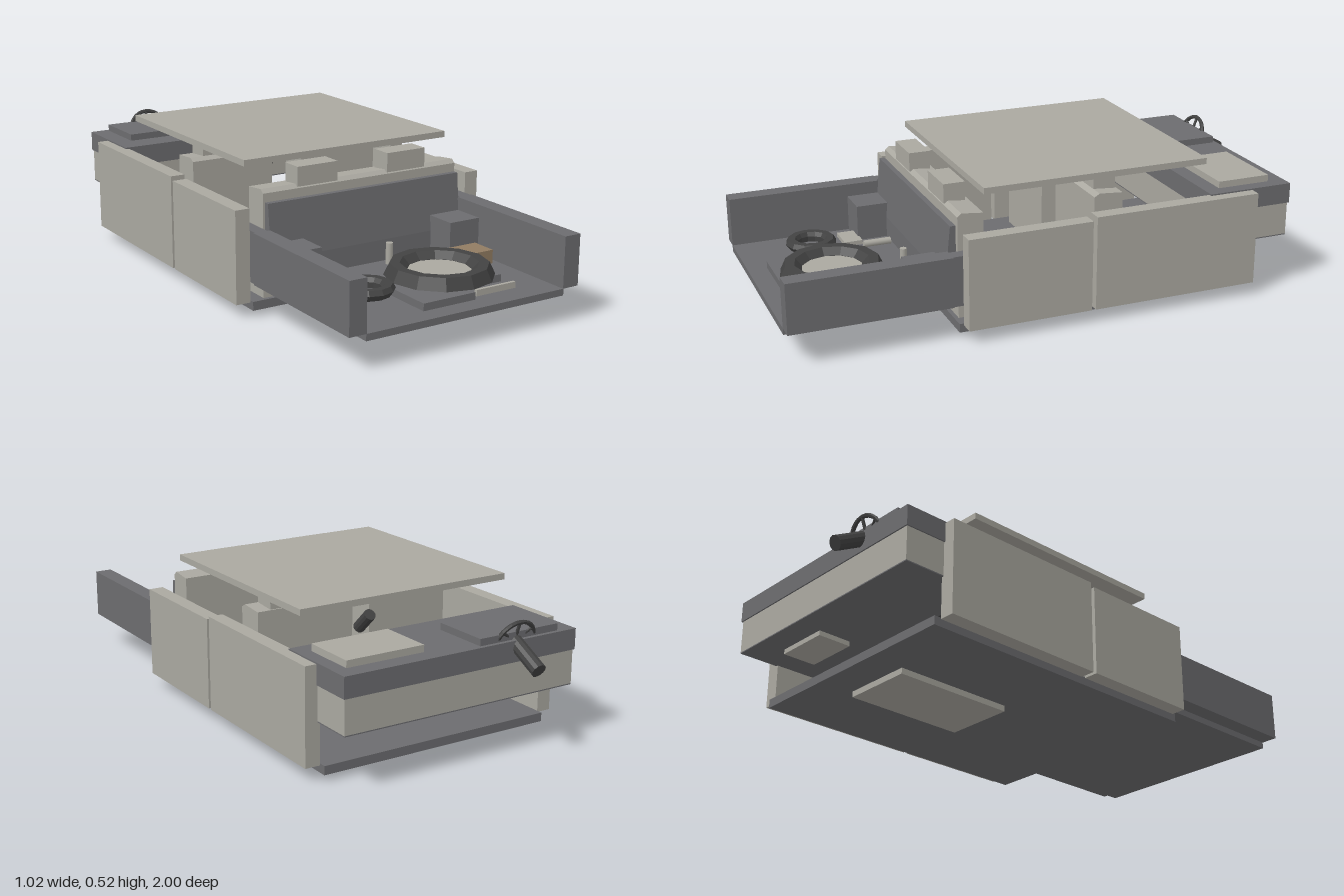
import * as THREE from 'three';

const mat = (name, color) => {
  const m = new THREE.MeshStandardMaterial({ color });
  m.name = name;
  return m;
};

export function createModel() {
  const model = new THREE.Group();
  model.name = 'equipmentUnit';
  const light = mat('warmGrey', 0xaaa8a0);
  const dark = mat('darkGrey', 0x6c6c6f);
  const black = mat('charcoal', 0x424242);
  const brown = mat('tan', 0x917c62);
  black.flatShading = true;

  const add = (name, geometry, material) => {
    const mesh = new THREE.Mesh(geometry, material);
    mesh.name = name;
    model.add(mesh);
    return mesh;
  };
  // Box given by its extents
  const box = (name, m, x0, x1, y0, y1, z0, z1) => {
    const b = add(name, new THREE.BoxGeometry(x1 - x0, y1 - y0, z1 - z0), m);
    b.position.set((x0 + x1) / 2, (y0 + y1) / 2, (z0 + z1) / 2);
    return b;
  };
  // Same box on both sides
  const pair = (name, m, x0, x1, ...rest) => {
    box(name + 'Left', m, x0, x1, ...rest);
    box(name + 'Right', m, -x1, -x0, ...rest);
  };
  // Cylinder between two points
  const rod = (name, m, a, b, r, sides = 12) => {
    const p = new THREE.Vector3(...a), q = new THREE.Vector3(...b);
    const d = q.clone().sub(p);
    const c = add(name, new THREE.CylinderGeometry(r, r, d.length(), sides), m);
    c.position.copy(p).add(q).multiplyScalar(0.5);
    c.quaternion.setFromUnitVectors(new THREE.Vector3(0, 1, 0), d.normalize());
    return c;
  };
  // Closed profile extruded across x, points given as [z, y]
  const prism = (name, m, x0, x1, pts) => {
    const s = new THREE.Shape(pts.map(([z, y]) => new THREE.Vector2(-z, y)));
    const g = new THREE.ExtrudeGeometry(s, { depth: x1 - x0, bevelEnabled: false });
    g.rotateY(Math.PI / 2);
    g.translate(x0, 0, 0);
    return add(name, g, m);
  };

  // Base, foot pad and outer side panels
  box('basePlate', dark, -0.455, 0.455, 0.022, 0.054, -0.755, 0.4);
  box('footPad', light, -0.135, 0.135, 0, 0.022, -0.625, -0.155);
  pair('frontSidePanel', light, 0.457, 0.512, 0.048, 0.382, -0.075, 0.385);
  pair('rearSidePanel', light, 0.457, 0.512, 0.048, 0.395, -0.73, -0.09);

  // Inner frame carrying the roof
  prism('frontBulkhead', light, -0.405, 0.405,
    [[0.385, 0.054], [0.385, 0.425], [0.37, 0.438], [0.29, 0.43], [0.29, 0.054]]);
  for (const [n, x0, x1] of [['Left', 0.065, 0.4], ['Right', -0.4, -0.065]]) {
    prism('middleBeam' + n, light, x0, x1,
      [[-0.13, 0.054], [-0.13, 0.425], [-0.15, 0.437], [-0.24, 0.43], [-0.24, 0.054]]);
  }
  pair('frontRoofBlock', light, 0.105, 0.268, 0.43, 0.5, 0.305, 0.385);
  pair('rearRoofBlock', light, 0.105, 0.347, 0.43, 0.5, -0.235, -0.15);
  box('roofPlate', light, -0.425, 0.425, 0.502, 0.525, -0.56, 0.295);
  rod('innerLever', black, [0.02, 0.33, -0.3], [0.02, 0.395, -0.37], 0.022);

  // Rear housing: dark cap over a light lower half
  box('rearHousingCap', dark, -0.47, 0.47, 0.325, 0.4, -0.89, -0.56);
  box('rearHousing', light, -0.465, 0.465, 0.202, 0.325, -0.885, -0.56);
  box('rearHousingUnderside', dark, -0.465, 0.465, 0.198, 0.202, -0.885, -0.56);
  pair('rearArm', dark, 0.422, 0.457, 0.3, 0.345, -0.56, -0.47);
  box('topPad', light, 0.12, 0.42, 0.4, 0.425, -0.825, -0.62);
  box('topCover', dark, -0.4, -0.07, 0.4, 0.425, -0.875, -0.66);
  box('lowerPad', light, 0.12, 0.33, 0.18, 0.198, -0.79, -0.66);

  // Rear handle with its small rim and spokes
  rod('rearHandle', black, [-0.225, 0.39, -0.86], [-0.225, 0.32, -0.99], 0.027);
  const wheel = new THREE.Group();
  wheel.name = 'handWheel';
  wheel.position.set(-0.225, 0.385, -0.86);
  wheel.rotation.x = -0.35;
  const rim = new THREE.Mesh(new THREE.TorusGeometry(0.08, 0.008, 6, 14, Math.PI), black);
  rim.name = 'wheelRim';
  wheel.add(rim);
  for (const a of [-0.9, 0, 0.9]) {
    const spoke = new THREE.Mesh(new THREE.CylinderGeometry(0.006, 0.006, 0.08, 6), black);
    spoke.name = 'wheelSpoke';
    spoke.rotation.z = a;
    spoke.position.set(-Math.sin(a) * 0.04, Math.cos(a) * 0.04, 0);
    wheel.add(spoke);
  }
  model.add(wheel);

  // Front tray
  box('trayFloor', dark, -0.4, 0.4, 0.098, 0.122, 0.4, 1);
  pair('trayWall', dark, 0.398, 0.463, 0.122, 0.305, 0.42, 1);
  prism('trayBackWall', dark, -0.4, 0.4,
    [[0.43, 0.122], [0.43, 0.2], [0.41, 0.395], [0.39, 0.395], [0.39, 0.122]]);
  pair('cornerBlock', dark, 0.27, 0.398, 0.122, 0.257, 0.42, 0.545);
  pair('trayBracket', dark, 0.41, 0.457, 0.122, 0.305, 0.29, 0.42);

  // Faceted rings on the tray
  const ring = (name, x, z, pts) => {
    const g = new THREE.LatheGeometry(pts.map(p => new THREE.Vector2(...p)), 12);
    add(name, g, black).position.set(x, 0, z);
  };
  ring('largeRing', 0.075, 0.74,
    [[0.11, 0.15], [0.19, 0.158], [0.17, 0.2], [0.135, 0.2], [0.11, 0.175], [0.11, 0.15]]);
  ring('smallRing', -0.22, 0.74,
    [[0.05, 0.145], [0.08, 0.142], [0.095, 0.163], [0.085, 0.18], [0.06, 0.18], [0.05, 0.165], [0.05, 0.145]]);
  const disc = add('ringDisc', new THREE.CylinderGeometry(0.112, 0.112, 0.02, 12), light);
  disc.position.set(0.075, 0.164, 0.74);

  // Small fittings on the tray
  box('ringBaseFront', dark, -0.13, 0.08, 0.122, 0.148, 0.7, 0.93);
  box('ringBaseRear', dark, 0.07, 0.27, 0.122, 0.148, 0.66, 0.83);
  box('tanBlock', brown, 0.14, 0.372, 0.122, 0.172, 0.56, 0.66);
  box('lightBlock', light, -0.335, -0.225, 0.122, 0.138, 0.54, 0.61);
  box('lightStrip', light, 0.1, 0.265, 0.124, 0.146, 0.9, 0.912);
  rod('lyingPin', light, [-0.195, 0.134, 0.44], [-0.195, 0.134, 0.545], 0.013);
  rod('standingPin', light, [0.06, 0.122, 0.47], [0.06, 0.2, 0.47], 0.013);

  return model;
}
